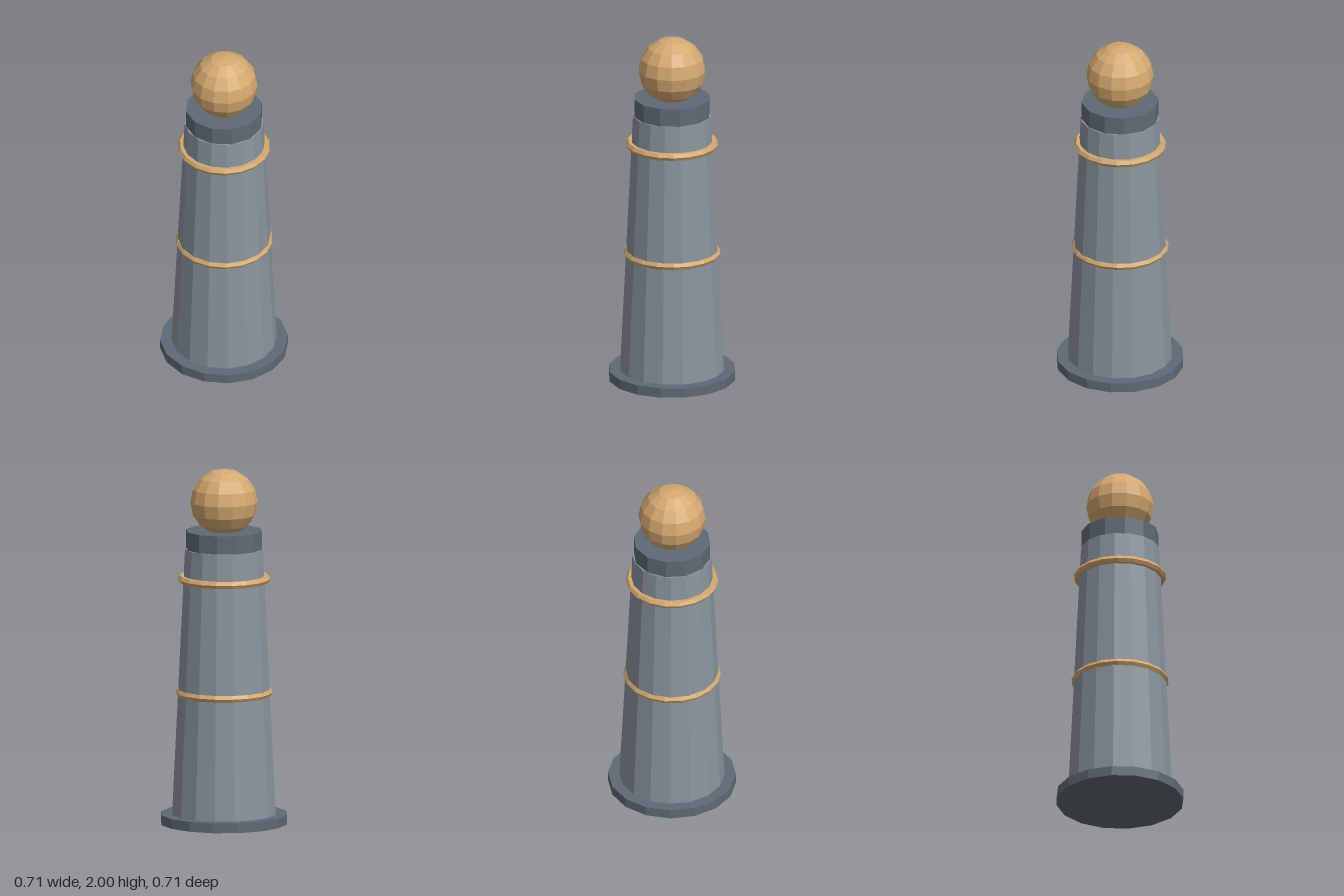
import * as THREE from 'three';

const material = (color) => new THREE.MeshStandardMaterial({ color, flatShading: true });

export function createModel() {
  const group = new THREE.Group();
  const darkStone = material(0x5f6a74);
  const stone = material(0x8a959e);
  const gold = material(0xd4a970);

  const add = (name, geometry, mat, y) => {
    const mesh = new THREE.Mesh(geometry, mat);
    mesh.name = name;
    mesh.position.y = y;
    group.add(mesh);
    return mesh;
  };

  // Tapered column standing on a wide foot
  add('base', new THREE.CylinderGeometry(0.356, 0.356, 0.055, 16), darkStone, 0.0275);
  add('column', new THREE.CylinderGeometry(0.22, 0.293, 1.495, 16), stone, 0.8025);
  add('cap', new THREE.CylinderGeometry(0.215, 0.215, 0.105, 12), darkStone, 1.6);

  // Six-sided bands around the column: [name, ring radius, height]
  for (const [name, radius, y] of [['lowerBand', 0.25, 0.74], ['upperBand', 0.236, 1.38]]) {
    const ring = new THREE.TorusGeometry(radius, 0.022, 6, 18);
    ring.rotateX(Math.PI / 2).rotateY(Math.PI / 2);
    add(name, ring, gold, y);
  }

  // Ball resting slightly sunk into the cap
  const ball = new THREE.SphereGeometry(0.188, 14, 8).rotateY(Math.PI / 2);
  add('ball', ball, gold, 1.812);

  return group;
}
